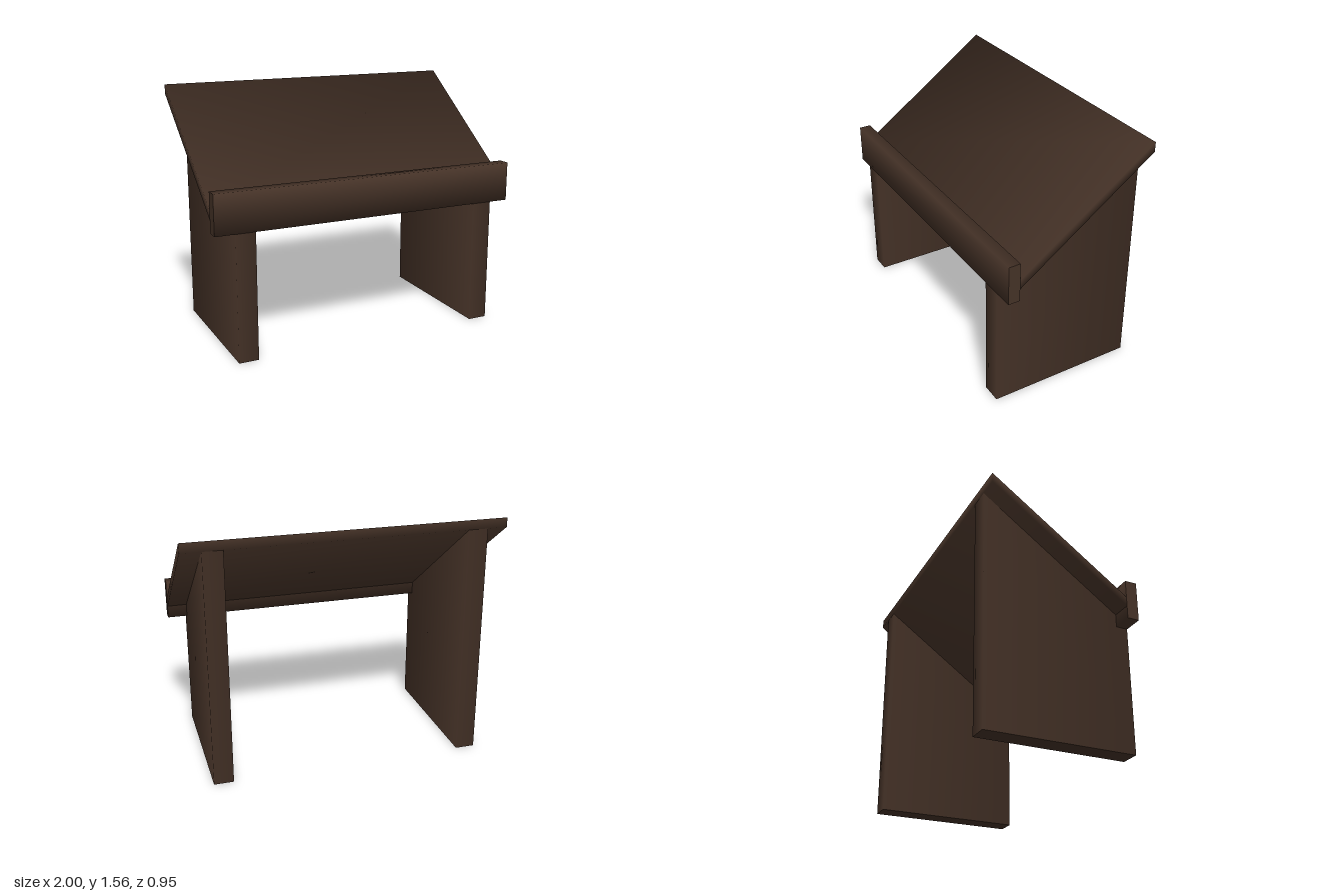
import * as THREE from 'three';

const wood = new THREE.MeshStandardMaterial({ color: 0x453227 });
wood.name = 'dark brown wood';

// Average the face normals meeting at each corner, leaving faces picked by isSharp flat
function soften(geo, isSharp) {
  const pos = geo.attributes.position, nor = geo.attributes.normal;
  const corners = new Map(), p = new THREE.Vector3(), n = new THREE.Vector3();
  const key = v => v.toArray().map(c => Math.round(c * 1000)).join();
  for (let i = 0; i < pos.count; i++) {
    p.fromBufferAttribute(pos, i);
    n.fromBufferAttribute(nor, i);
    if (isSharp(n)) continue;
    const k = key(p);
    if (!corners.has(k)) corners.set(k, new Map());
    corners.get(k).set(key(n), n.clone());
  }
  for (let i = 0; i < pos.count; i++) {
    p.fromBufferAttribute(pos, i);
    n.fromBufferAttribute(nor, i);
    if (isSharp(n)) continue;
    n.set(0, 0, 0);
    for (const f of corners.get(key(p)).values()) n.add(f);
    n.normalize();
    nor.setXYZ(i, n.x, n.y, n.z);
  }
  return geo;
}

// A board with a side outline of [z, y] points, running across x
function board(name, outline, width, x, isSharp) {
  const shape = new THREE.Shape(outline.map(([z, y]) => new THREE.Vector2(z, y)));
  const geo = new THREE.ExtrudeGeometry(shape, { depth: width, bevelEnabled: false });
  geo.translate(0, 0, -width / 2).rotateY(-Math.PI / 2);
  const mesh = new THREE.Mesh(soften(geo, isSharp), wood);
  mesh.name = name;
  mesh.position.x = x;
  return mesh;
}

export function createModel() {
  const group = new THREE.Group();
  group.name = 'slantedDesk';

  // Sloping top panel
  group.add(board('slantedTop',
    [[0.4, 0.88], [0.4, 0.94], [-0.475, 1.56], [-0.475, 1.5]], 2, 0, () => false));

  // Front ledge that stops things sliding off
  group.add(board('frontLedge',
    [[0.475, 0.8], [0.475, 1.05], [0.4, 1.05], [0.4, 0.8]], 2, 0, n => Math.abs(n.x) > 0.5));

  // Upright side panels, cut to the slope
  for (const side of [1, -1]) {
    group.add(board(side > 0 ? 'leftLeg' : 'rightLeg',
      [[0.474, 0], [0.474, 0.832], [-0.474, 1.5], [-0.474, 0]], 0.125, side * 0.8125,
      n => Math.abs(n.y) > 0.5));
  }
  return group;
}
